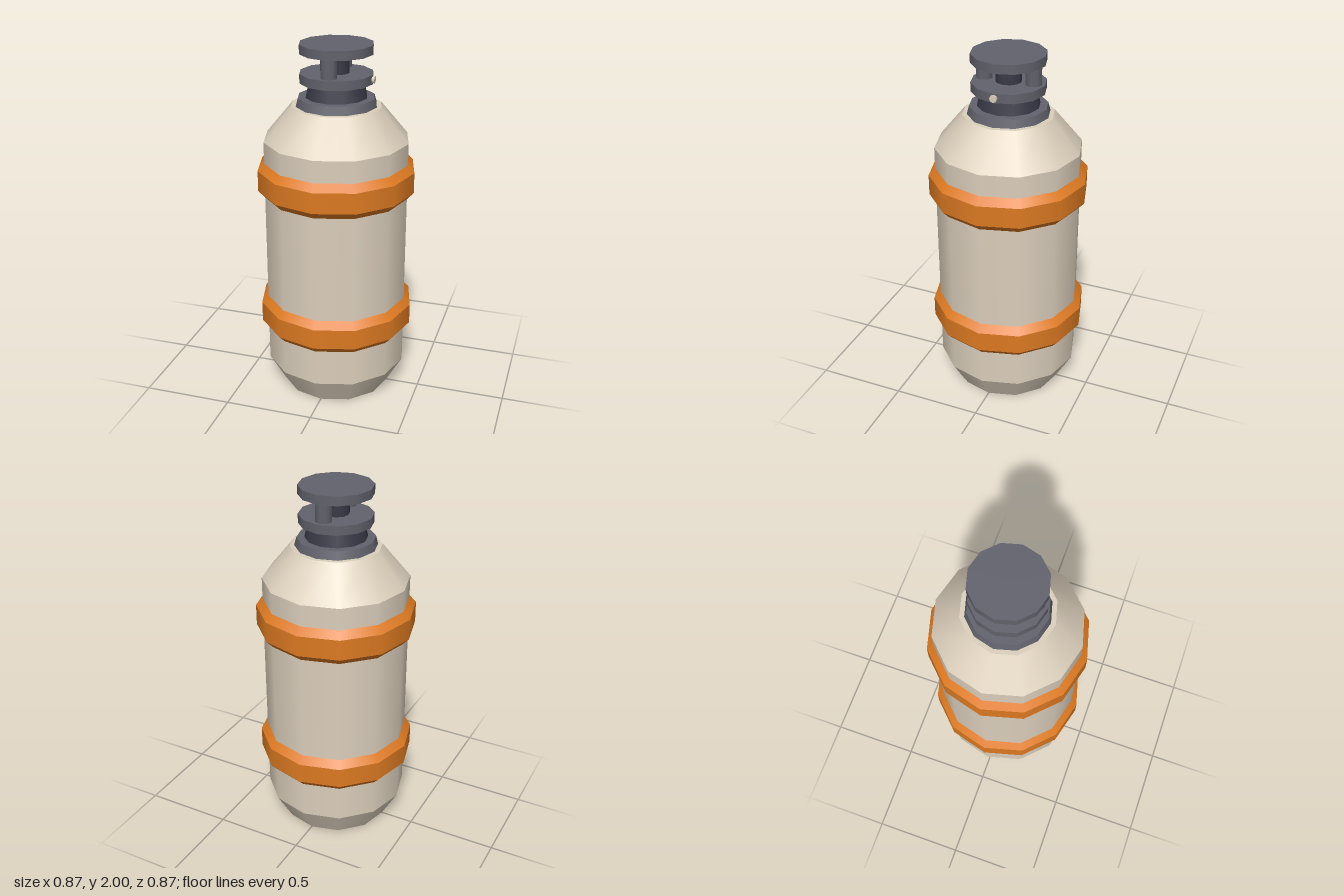
import * as THREE from 'three';

const material = (name, color, side = THREE.FrontSide) => {
  const m = new THREE.MeshStandardMaterial({ color, side });
  m.name = name;
  return m;
};

export function createModel() {
  const cream = material('cream paint', 0xdccfbc);
  const orange = material('orange band', 0xdd7a22);
  const grey = material('grey metal', 0x62626d);
  const dark = material('dark metal', 0x3a3a48);

  const model = new THREE.Group();
  model.name = 'gasCanister';

  // Cylinder section between two heights, smooth around and creased at its ends
  function section(parent, name, mat, y0, y1, r0, r1 = r0, { sides = 12, open = false, x = 0, z = 0 } = {}) {
    const mesh = new THREE.Mesh(new THREE.CylinderGeometry(r1, r0, y1 - y0, sides, 1, open), mat);
    mesh.position.set(x, (y0 + y1) / 2, z);
    mesh.name = name;
    parent.add(mesh);
    return mesh;
  }

  // Stack of open sections through [radius, y] points
  function stack(name, mat, points) {
    const group = new THREE.Group();
    group.name = name;
    for (let i = 1; i < points.length; i++) {
      const [r0, y0] = points[i - 1], [r1, y1] = points[i];
      section(group, `${name}Section${i}`, mat, y0, y1, r0, r1, { open: true });
    }
    model.add(group);
    return group;
  }

  // Tank body with tapered base and shoulder, closed by two discs
  const body = stack('tankBody', cream, [[0.31, 0], [0.4, 0.16], [0.4, 1.485], [0.247, 1.67]]);
  for (const [name, r, y, dir] of [['tankBottom', 0.31, 0, 1], ['tankTop', 0.247, 1.67, -1]]) {
    const disc = new THREE.Mesh(new THREE.CircleGeometry(r, 12), cream);
    disc.rotation.x = dir * Math.PI / 2;
    disc.position.y = y;
    disc.name = name;
    body.add(disc);
  }

  // Bevelled protective bands
  for (const [name, y] of [['lowerBand', 0.37], ['upperBand', 1.17]]) {
    stack(name, orange, [[0.4, y], [0.437, y + 0.04], [0.437, y + 0.155], [0.4, y + 0.195]]);
  }

  // Valve: collar, neck, lower plate, core, posts and cap
  const valve = new THREE.Group();
  valve.name = 'valve';
  model.add(valve);
  section(valve, 'collar', grey, 1.67, 1.715, 0.222, 0.21);
  section(valve, 'neck', dark, 1.715, 1.8, 0.168, 0.15);
  section(valve, 'lowerPlate', grey, 1.795, 1.845, 0.2);
  section(valve, 'valveCore', dark, 1.845, 1.94, 0.07);
  for (const side of [-1, 1]) {
    section(valve, side > 0 ? 'frontPost' : 'backPost', grey, 1.845, 1.95, 0.045, 0.045, { sides: 8, z: side * 0.138 });
  }
  section(valve, 'capPlate', grey, 1.95, 2, 0.2);

  // Small pin on the left edge of the lower plate
  const pin = section(valve, 'pin', cream, 1.8125, 1.8275, 0.02, 0.02, { sides: 8, x: 0.2025 });
  pin.position.y = 1.82;
  pin.rotation.z = -Math.PI / 2;

  return model;
}
